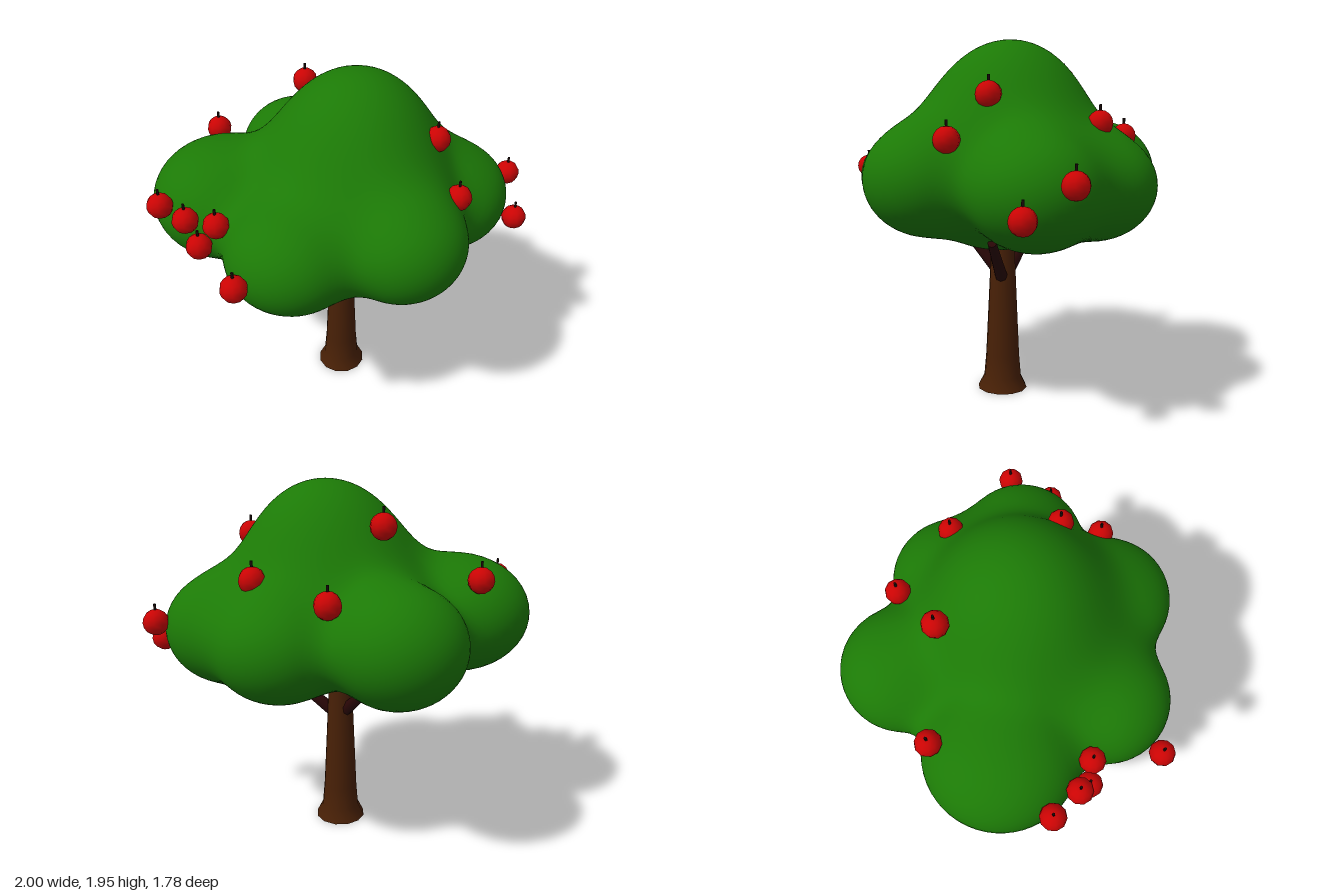
import * as THREE from 'three';
import { mergeVertices } from 'three/addons/utils/BufferGeometryUtils.js';

const mat = (name, color) => {
  const m = new THREE.MeshStandardMaterial({ color });
  m.name = name;
  return m;
};

// Leafy lobes: centre x, y, z, horizontal and vertical radius, blend width
const LOBES = [
  [0, 1.22, -0.03, 0.5, 0.41, 0.16],       // core
  [-0.6, 1.24, 0.09, 0.4, 0.315, 0.16],    // right side
  [-0.39, 1.22, -0.55, 0.335, 0.3, 0.16],  // back right
  [0.19, 1.19, -0.54, 0.34, 0.29, 0.16],   // back left
  [0.53, 1.19, -0.29, 0.345, 0.3, 0.16],   // left side
  [0.38, 1.23, 0.27, 0.34, 0.3, 0.16],     // front left
  [-0.13, 1.2, 0.46, 0.34, 0.285, 0.16],   // front
  [0.07, 1.55, -0.1, 0.37, 0.395, 0.38],   // crown, with broad shoulders
];

// Signed distance to the softly blended lobes
function foliageDistance(x, y, z) {
  let d = 10;
  for (const [cx, cy, cz, r, h, k] of LOBES) {
    const dx = x - cx, dy = y - cy, dz = z - cz;
    const a = Math.hypot(dx / r, dy / h, dz / r);
    const b = Math.hypot(dx / (r * r), dy / (h * h), dz / (r * r)) || 1e-6;
    const e = (a * (a - 1)) / b;
    const t = Math.max(k - Math.abs(d - e), 0) / k;
    d = Math.min(d, e) - t * t * k * 0.25;
  }
  return d;
}

// Push each vertex of a ball out to the blended surface
function foliageGeometry() {
  let geo = new THREE.IcosahedronGeometry(1, 24);
  geo.deleteAttribute('uv');
  geo.deleteAttribute('normal');
  geo = mergeVertices(geo, 1e-4);
  const pos = geo.attributes.position, v = new THREE.Vector3();
  const oy = 1.22, oz = -0.04;
  for (let i = 0; i < pos.count; i++) {
    v.fromBufferAttribute(pos, i).normalize();
    const dist = (t) => foliageDistance(v.x * t, oy + v.y * t, oz + v.z * t);
    let hi = 1.3;
    while (hi > 0.1 && dist(hi) > 0) hi -= 0.015;
    let lo = hi;
    hi += 0.015;
    for (let n = 0; n < 10; n++) {
      const mid = (lo + hi) / 2;
      if (dist(mid) > 0) hi = mid; else lo = mid;
    }
    pos.setXYZ(i, v.x * lo, oy + v.y * lo, oz + v.z * lo);
  }
  geo.computeVertexNormals();
  return geo;
}

export function createModel() {
  const tree = new THREE.Group();
  tree.name = 'fruitTree';
  const leaf = mat('leafGreen', 0x1c7a06);
  const bark = mat('barkBrown', 0x482006);
  const branchBark = mat('darkBranch', 0x290606);
  const red = mat('fruitRed', 0xcc0404);
  const stemMat = mat('stemDark', 0x180806);

  const add = (parent, name, geo, material) => {
    const mesh = new THREE.Mesh(geo, material);
    mesh.name = name;
    parent.add(mesh);
    return mesh;
  };

  add(tree, 'foliage', foliageGeometry(), leaf);

  // Trunk with flared foot
  const profile = [[0.14, 0], [0.106, 0.07], [0.095, 0.2], [0.066, 0.83], [0.066, 0.92]]
    .map(([r, y]) => new THREE.Vector2(r, y));
  add(tree, 'trunk', new THREE.LatheGeometry(profile, 12), bark).position.z = -0.05;
  const base = add(tree, 'trunkBase', new THREE.CircleGeometry(0.14, 12), branchBark);
  base.rotation.x = Math.PI / 2;
  base.position.set(0, 0.001, -0.05);

  // Branches from the trunk up into the leaves
  const up = new THREE.Vector3(0, 1, 0);
  [
    [[0.03, 0.645, -0.05], [0.36, 0.9, -0.05]],
    [[-0.02, 0.68, -0.02], [-0.07, 0.9, 0.18]],
    [[-0.02, 0.66, -0.07], [-0.21, 0.88, -0.18]],
  ].forEach(([a, b]) => {
    const from = new THREE.Vector3(...a), to = new THREE.Vector3(...b);
    const dir = to.clone().sub(from);
    const branch = add(tree, 'branch', new THREE.CylinderGeometry(0.024, 0.037, dir.length(), 8), branchBark);
    branch.position.copy(from).add(to).multiplyScalar(0.5);
    branch.quaternion.setFromUnitVectors(up, dir.normalize());
  });

  // Round fruit with short stems
  const fruitGeo = new THREE.SphereGeometry(0.067, 10, 8);
  const stemGeo = new THREE.CylinderGeometry(0.007, 0.007, 0.05, 6);
  [
    [-0.815, 1.375, 0.455], [-0.65, 1.36, 0.525], [-0.49, 1.355, 0.525], [-0.58, 1.235, 0.555],
    [-0.295, 1.245, 0.83], [-0.28, 1.75, -0.36], [0.49, 1.65, -0.055], [0.635, 1.435, 0.12],
    [0.86, 1.25, -0.5], [0.93, 1.1, -0.28], [-0.09, 1.44, -0.705], [0.305, 1.51, -0.585],
    [-0.745, 1.48, -0.21],
  ].forEach((p) => {
    const fruit = new THREE.Group();
    fruit.name = 'fruit';
    fruit.position.set(...p);
    add(fruit, 'fruitBody', fruitGeo, red);
    add(fruit, 'fruitStem', stemGeo, stemMat).position.y = 0.07;
    tree.add(fruit);
  });

  return tree;
}
